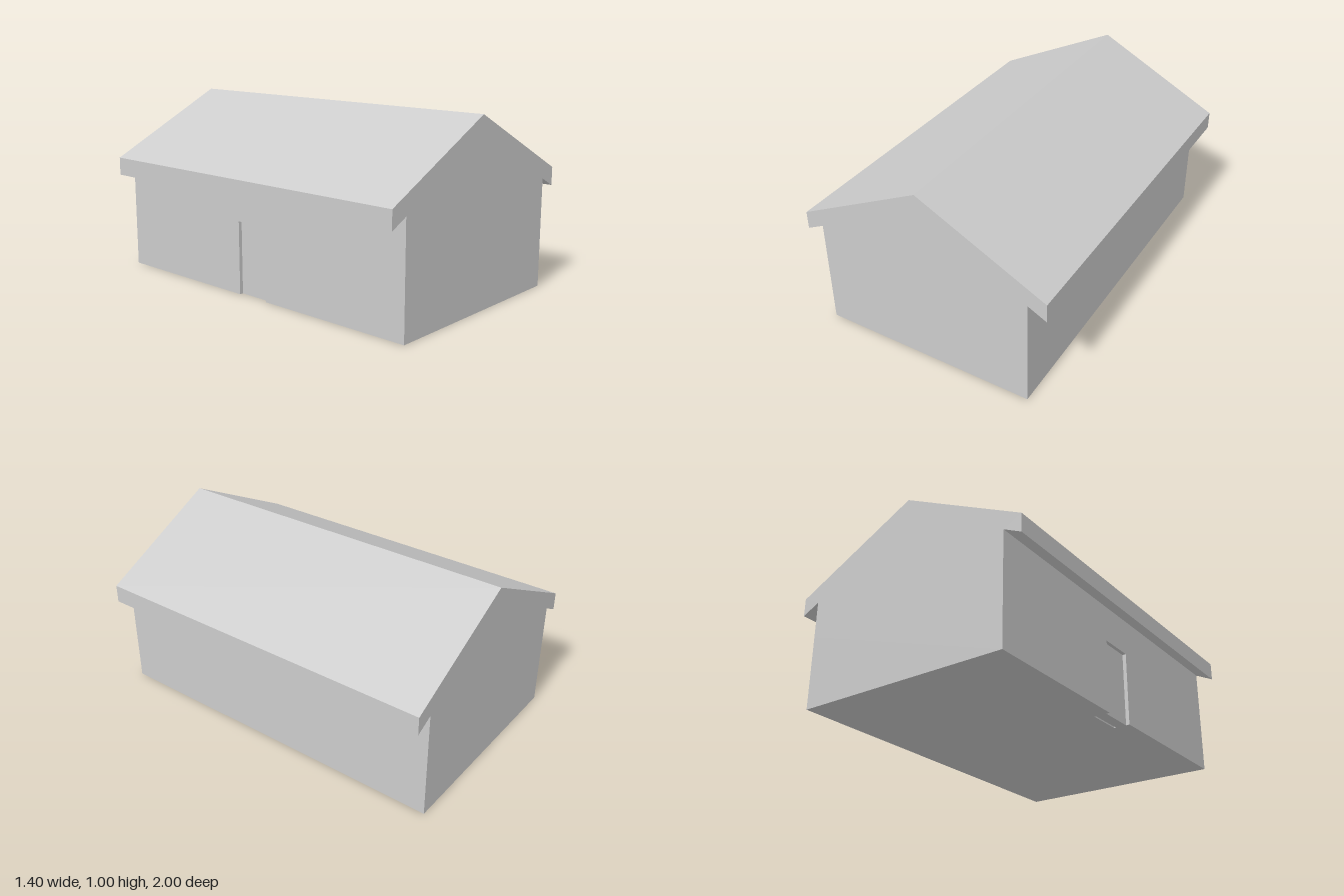
import * as THREE from 'three';

const WALL = 0.6;      // half width of the walls
const HALF = 1;        // half length of the house
const DOOR_H = 0.4;    // door height
const DOOR_W = 0.1;    // half width of the door

const material = new THREE.MeshStandardMaterial({ color: 0xcccccc, flatShading: true });

function extrude(points, depth) {
  const shape = new THREE.Shape(points.map(([x, y]) => new THREE.Vector2(x, y)));
  return new THREE.ExtrudeGeometry(shape, { depth, bevelEnabled: false });
}

function part(name, geometry) {
  const mesh = new THREE.Mesh(geometry, material);
  mesh.name = name;
  return mesh;
}

export function createModel() {
  const house = new THREE.Group();
  house.name = 'house';

  // Lower walls: floor plan with a doorway recess in the -x side
  const plan = [
    [-WALL, -HALF], [WALL, -HALF], [WALL, HALF], [-WALL, HALF],
    [-WALL, DOOR_W], [-WALL + 0.09, DOOR_W], [-WALL + 0.09, -DOOR_W], [-WALL, -DOOR_W],
  ];
  house.add(part('lowerWalls', extrude(plan, DOOR_H).rotateX(-Math.PI / 2)));

  // Upper walls, gables and overhanging roof in one profile
  const profile = [
    [-WALL, DOOR_H], [WALL, DOOR_H], [WALL, 0.6], [0.7, 0.55], [0.7, 0.65],
    [0, 1], [-0.7, 0.65], [-0.7, 0.55], [-WALL, 0.6],
  ];
  house.add(part('roofAndGables', extrude(profile, 2 * HALF).translate(0, 0, -HALF)));

  // Door panel, set slightly back in its recess
  const door = part('door', new THREE.BoxGeometry(0.06, DOOR_H, 2 * DOOR_W));
  door.position.set(-WALL + 0.05, DOOR_H / 2, 0);
  house.add(door);

  return house;
}
